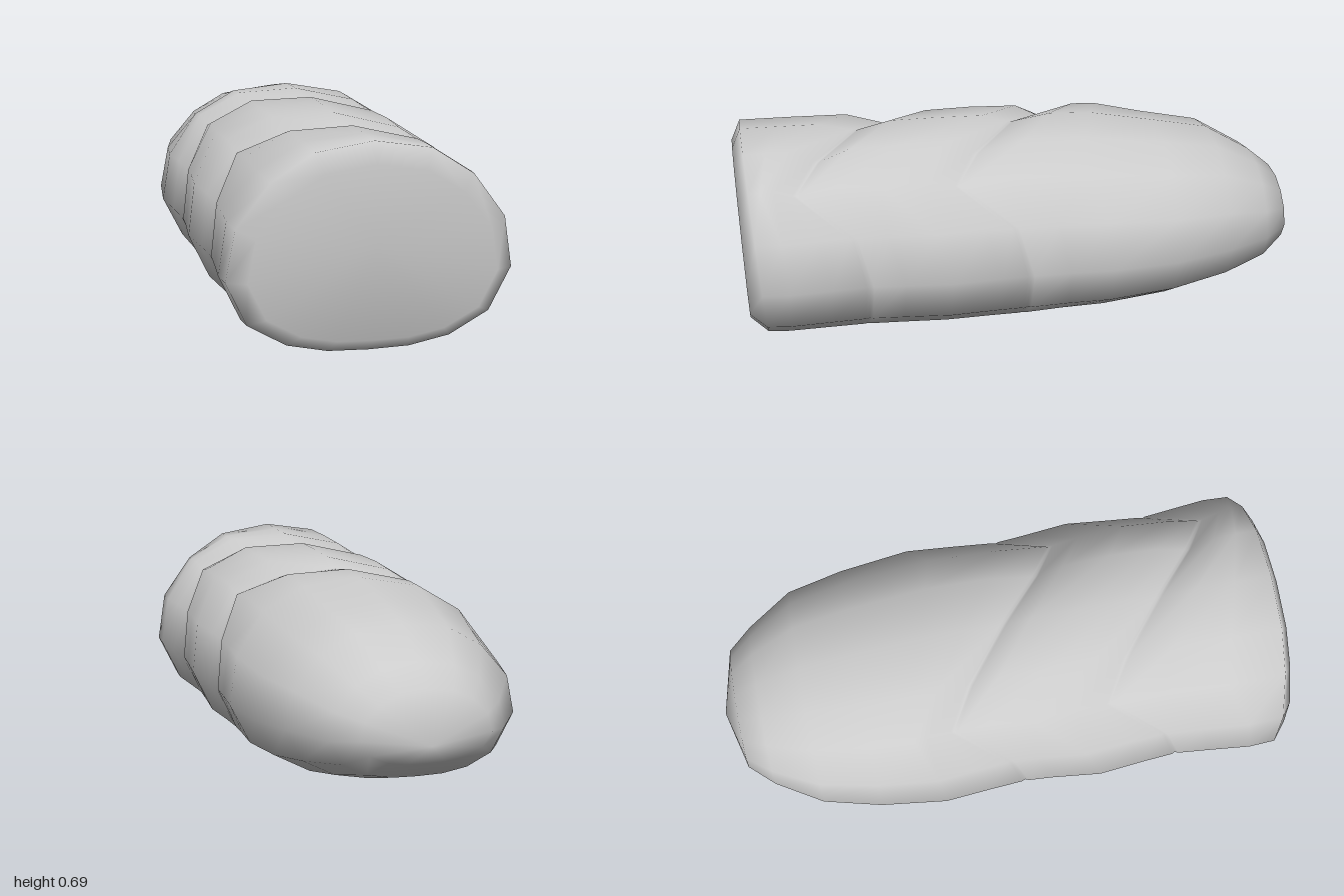
import * as THREE from 'three';

// Half of the loaf's outline, top centre to bottom centre: x, y (full size)
const HALF = [
  [0, 0.69], [0.19, 0.66], [0.33, 0.57], [0.44, 0.425], [0.47, 0.255],
  [0.4, 0.11], [0.27, 0.035], [0.135, 0.007], [0, 0.003],
];
const OUTLINE = [...HALF, ...HALF.slice(1, -1).reverse().map(([x, y]) => [-x, y])];
const N = OUTLINE.length;

// How far each outline point slides along z where the slashes run diagonally
const SLANT = [0, 0.15, 0.23, 0.05, 0, 0, 0, 0, 0];
// How deep a slash cuts at each outline point
const CUT = [0.03, 0.05, 0.025, 0.005, 0, 0, 0, 0, 0];

// Three close rings give a slash a crisp valley
const slash = (z) => [0.012, 0, -0.012].map((d) => (
  { z: z + d, w: 0.935 + Math.abs(d), top: 0.69, bottom: 0, slant: 1, cut: d ? 0.88 : 1 }
));

// Cross-sections from the cut face to the rounded heel
const RINGS = [
  { z: 1.0, w: 0.86, top: 0.62, bottom: 0.05, tilt: 0.03 },
  { z: 0.97, w: 0.99, top: 0.69, bottom: 0.003, tilt: 0.06 },
  { z: 0.84, w: 1, top: 0.69, bottom: 0, slant: 0.35 },
  { z: 0.7, w: 0.97, top: 0.69, bottom: 0, slant: 0.75 },
  ...slash(0.57),
  { z: 0.45, w: 0.965, top: 0.69, bottom: 0, slant: 1 },
  { z: 0.29, w: 1, top: 0.692, bottom: 0, slant: 1 },
  { z: 0.12, w: 0.96, top: 0.69, bottom: 0, slant: 1 },
  ...slash(0.02),
  { z: -0.12, w: 0.97, top: 0.685, bottom: 0.012, slant: 0.8 },
  { z: -0.27, w: 1, top: 0.68, bottom: 0.022, slant: 0.35 },
  { z: -0.5, w: 0.94, top: 0.64, bottom: 0.047 },
  { z: -0.7, w: 0.84, top: 0.603, bottom: 0.09 },
  { z: -0.86, w: 0.63, top: 0.51, bottom: 0.135 },
  { z: -0.945, w: 0.47, top: 0.44, bottom: 0.2 },
];

function loafGeometry() {
  const pos = [];
  const index = [];
  for (const { z, w, top, bottom, slant = 0, cut = 0, tilt = 0 } of RINGS) {
    OUTLINE.forEach(([x, y], j) => {
      const k = Math.min(j, N - j);
      const t = (y - 0.003) / 0.687;
      pos.push(
        x * w,
        bottom + t * (top - bottom) - CUT[k] * cut,
        z + Math.sign(x) * SLANT[k] * slant - tilt * (1 - t),
      );
    });
  }
  // Skin between neighbouring rings
  for (let i = 0; i < RINGS.length - 1; i++) {
    for (let j = 0; j < N; j++) {
      const a = i * N + j;
      const b = i * N + (j + 1) % N;
      index.push(a, b, a + N, b, b + N, a + N);
    }
  }
  // Close the cut face and the heel
  const front = pos.length / 3;
  pos.push(0, 0.36, 0.99, 0, 0.27, -1);
  const last = (RINGS.length - 1) * N;
  for (let j = 0; j < N; j++) {
    const n = (j + 1) % N;
    index.push(front, n, j, front + 1, last + j, last + n);
  }
  const geometry = new THREE.BufferGeometry();
  geometry.setAttribute('position', new THREE.Float32BufferAttribute(pos, 3));
  geometry.setIndex(index);
  geometry.computeVertexNormals();
  return geometry;
}

export function createModel() {
  const group = new THREE.Group();
  group.name = 'breadLoaf';
  const loaf = new THREE.Mesh(
    loafGeometry(),
    new THREE.MeshStandardMaterial({ color: 0xcccccc }),
  );
  loaf.name = 'loaf';
  group.add(loaf);
  return group;
}
